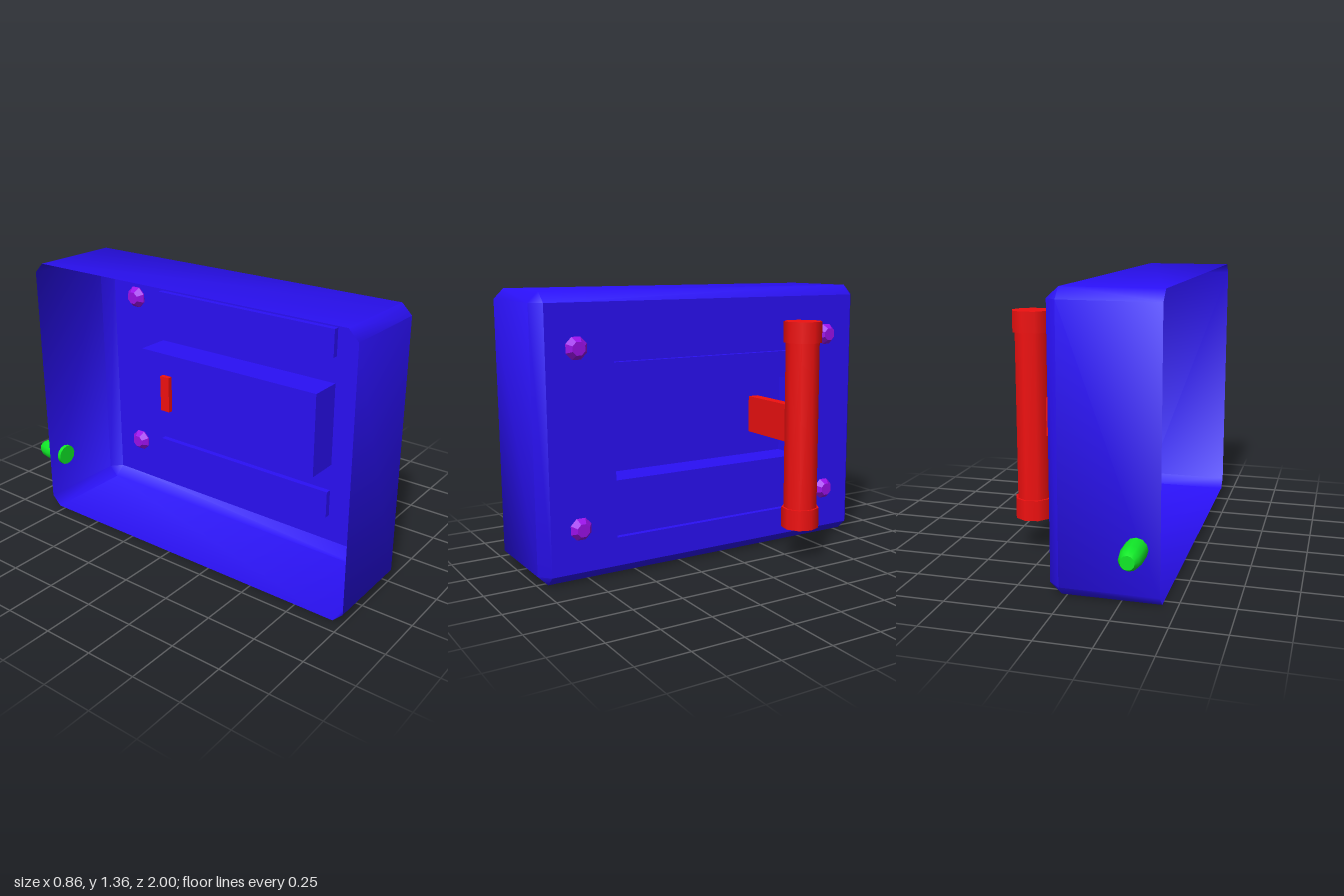
import * as THREE from 'three';
import { toCreasedNormals } from 'three/addons/utils/BufferGeometryUtils.js';

const FACE_X = 0.08, BEVEL_X = 0.025, BACK_X = -0.43;
const mat = (color, extra = {}) => new THREE.MeshStandardMaterial({ color, ...extra });

function add(parent, name, geometry, material, x = 0, y = 0, z = 0) {
  const mesh = new THREE.Mesh(geometry, material);
  mesh.name = name;
  mesh.position.set(x, y, z);
  parent.add(mesh);
  return mesh;
}

// Skin between successive closed rings of [u, y] points, each at its own depth
function loft(rings, crease) {
  const pos = [], idx = [], n = rings[0].points.length;
  rings.forEach(r => r.points.forEach(([u, y]) => pos.push(u, y, r.depth)));
  for (let k = 0; k < rings.length - 1; k++) {
    for (let i = 0; i < n; i++) {
      const j = (i + 1) % n, a = k * n + i, b = k * n + j;
      idx.push(a, b, b + n, a, b + n, a + n);
    }
  }
  const g = new THREE.BufferGeometry();
  g.setAttribute('position', new THREE.Float32BufferAttribute(pos, 3));
  g.setIndex(idx);
  return toCreasedNormals(g, crease);
}

const rect = (u0, u1, y0, y1) => [[u0, y0], [u1, y0], [u1, y1], [u0, y1]];
const path = (points, Type) => new Type(points.map(p => new THREE.Vector2(...p)));

export function createModel() {
  const model = new THREE.Group();
  model.name = 'doorPanel';
  const blue = mat(0x2a10f5, { side: THREE.DoubleSide });
  const red = mat(0xf01010);
  const purple = mat(0x9a10e8, { flatShading: true });
  const green = mat(0x10e828);

  // Housing is drawn face-on (u = -z), then turned to face +x
  const housing = new THREE.Group();
  housing.name = 'housing';
  housing.rotation.y = Math.PI / 2;
  model.add(housing);

  // Open-backed shell with chamfered corners and front edge
  const u0 = -1, u1 = 0.84, h = 1.36, c = 0.05;
  const outer = [
    [u0 + c, 0], [u1 - c, 0], [u1, c], [u1, h - c],
    [u1 - c, h], [u0 + c, h], [u0, h - c], [u0, c],
  ];
  const face = rect(u0 + c, u1 - c, c, h - c);
  const inner = [0, 1, 1, 2, 2, 3, 3, 0].map(i => face[i]);
  add(housing, 'shell', loft([
    { points: outer, depth: BACK_X },
    { points: outer, depth: BEVEL_X },
    { points: inner, depth: FACE_X },
  ], 0.95), blue);

  // Face plate with three recessed panels
  const plate = path(face, THREE.Shape);
  const recesses = [
    ['upperRecess', 1.03, 1.17, 0.03],
    ['middleRecess', 0.47, 0.895, 0.17],
    ['lowerRecess', 0.19, 0.33, 0.03],
  ];
  for (const [name, y0, y1, depth] of recesses) {
    const points = rect(-0.615, 0.45, y0, y1);
    plate.holes.push(path(points, THREE.Path));
    add(housing, name + 'Walls', loft([
      { points, depth: FACE_X - depth },
      { points, depth: FACE_X },
    ], 0.1), blue);
    add(housing, name + 'Floor', new THREE.ShapeGeometry(path(points, THREE.Shape)), blue, 0, 0, FACE_X - depth);
  }
  add(housing, 'facePlate', new THREE.ShapeGeometry(plate), blue, 0, 0, FACE_X);

  // Four faceted bolts through the face plate
  const boltProfile = [[0, -0.035], [0.033, -0.035], [0.058, -0.005], [0.058, 0], [0.033, 0.033], [0, 0.033]]
    .map(p => new THREE.Vector2(...p));
  const boltGeometry = new THREE.LatheGeometry(boltProfile, 8).rotateY(Math.PI / 8).rotateZ(-Math.PI / 2);
  for (const y of [0.262, 1.105]) {
    for (const z of [0.8, -0.63]) add(model, 'bolt', boltGeometry, purple, 0.078, y, z);
  }

  // Nine-sided grip with end collars on a flat arm
  const handle = new THREE.Group();
  handle.name = 'handle';
  handle.position.set(0.335, 0.685, -0.28);
  model.add(handle);
  const prism = (r, height) => new THREE.CylinderGeometry(r, r, height, 9).rotateY(Math.PI / 2);
  add(handle, 'grip', prism(0.084, 0.9), red);
  for (const s of [-1, 1]) add(handle, 'gripCollar', prism(0.095, 0.103), red, 0, s * 0.465, 0);
  add(handle, 'arm', new THREE.BoxGeometry(0.45, 0.19, 0.055), red, -0.225, 0, 0);

  // Rounded peg on the rear edge
  const pegProfile = [[0, -0.02], [0.053, -0.02], [0.053, 0.09], [0.046, 0.135], [0.032, 0.16], [0, 0.16]]
    .map(p => new THREE.Vector2(...p));
  const pegGeometry = toCreasedNormals(new THREE.LatheGeometry(pegProfile, 12).rotateX(-Math.PI / 2), 0.75);
  add(model, 'peg', pegGeometry, green, -0.325, 0.262, -0.84);

  return model;
}
